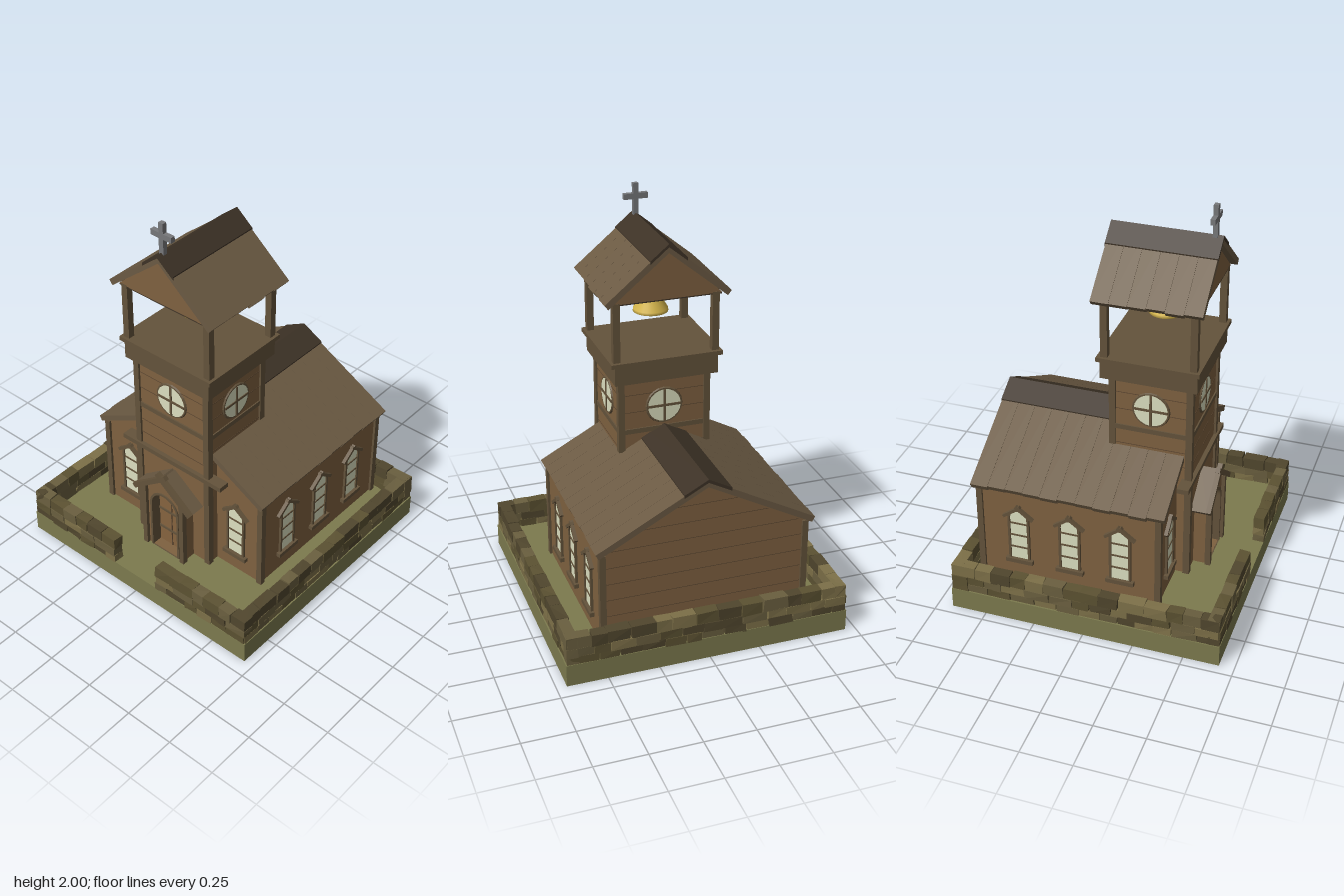
import * as THREE from 'three';

const mat = (color, side = THREE.FrontSide) => new THREE.MeshStandardMaterial({ color, side, flatShading: true });
const M = {
  grass: mat(0x7c7a4e, THREE.DoubleSide), wall: mat(0x7f6140), trim: mat(0x64533b), roof: mat(0x6b5a43),
  ridge: mat(0x3d3226), seam: mat(0x5a4530), glass: mat(0xdcdfc0), door: mat(0x86643f), iron: mat(0x77787a),
  bell: new THREE.MeshStandardMaterial({ color: 0xd6b64c, side: THREE.DoubleSide }),
};
const stoneMats = [0x5c5232, 0x6a5f3f, 0x51472e, 0x7d7048].map((c) => mat(c));

let seed = 7;
const rnd = () => (seed = (seed * 16807) % 2147483647) / 2147483647;

function add(parent, name, geo, m) {
  const mesh = new THREE.Mesh(geo, m);
  mesh.name = name;
  parent.add(mesh);
  return mesh;
}
function group(parent, name) {
  const g = new THREE.Group();
  g.name = name;
  parent.add(g);
  return g;
}
// box given by its limits on each axis
function box(parent, name, m, x0, x1, y0, y1, z0, z1) {
  const b = add(parent, name, new THREE.BoxGeometry(x1 - x0, y1 - y0, z1 - z0), m);
  b.position.set((x0 + x1) / 2, (y0 + y1) / 2, (z0 + z1) / 2);
  return b;
}
// outline in x/y pushed from z0 to z1
function prism(parent, name, m, shape, z0, z1) {
  const s = Array.isArray(shape) ? new THREE.Shape(shape.map((p) => new THREE.Vector2(...p))) : shape;
  const geo = new THREE.ExtrudeGeometry(s, { depth: z1 - z0, bevelEnabled: false, curveSegments: 10 });
  return add(parent, name, geo.translate(0, 0, z0), m);
}
// straight stick between two x/y points
function stick(parent, name, m, [ax, ay], [bx, by], th, z0, z1) {
  const b = add(parent, name, new THREE.BoxGeometry(Math.hypot(bx - ax, by - ay), th, z1 - z0), m);
  b.position.set((ax + bx) / 2, (ay + by) / 2, (z0 + z1) / 2);
  b.rotation.z = Math.atan2(by - ay, bx - ax);
}
function archPath(Kind, w, y0, top) {
  const p = new Kind();
  p.moveTo(-w, y0);
  p.lineTo(w, y0);
  p.lineTo(w, top - w);
  p.absarc(0, top - w, w, 0, Math.PI, false);
  p.lineTo(-w, y0);
  return p;
}

// gable roof made of planks running down the slope, with a dark ridge cap
function plankRoof(parent, name, { hw, eave, ridge, z0, z1, t, planks, cap }) {
  const g = group(parent, name);
  const slope = (ridge - eave) / hw;
  const drop = t * Math.hypot(1, slope);
  const dx = t * Math.sin(Math.atan(slope)), dy = t * Math.cos(Math.atan(slope));
  const w = (z1 - z0) / planks;
  for (const s of [-1, 1]) {
    for (let i = 0; i < planks; i++) {
      const e = hw - rnd() * 0.008;
      const y = ridge - slope * e;
      prism(g, 'roofPlank', M.roof, [[0, ridge], [s * e, y], [s * (e - dx), y - dy], [0, ridge - drop]],
        z0 + i * w, z0 + (i + 1) * w - 0.001);
    }
    const cy = ridge - slope * cap;
    prism(g, 'ridgeCap', M.ridge, [[0, ridge + 0.006], [s * cap, cy + 0.006], [s * cap, cy - 0.01], [0, ridge - 0.01]],
      z0 - 0.003, z1 + 0.003);
  }
}

function archedWindow(parent, x, z, ry) {
  const g = group(parent, 'archedWindow');
  g.position.set(x, 0, z);
  g.rotation.y = ry;
  prism(g, 'pane', M.glass, archPath(THREE.Shape, 0.044, 0.22, 0.504), -0.01, 0.005);
  const frame = archPath(THREE.Shape, 0.055, 0.21, 0.515);
  frame.holes.push(archPath(THREE.Path, 0.043, 0.222, 0.503));
  prism(g, 'frame', M.trim, frame, -0.01, 0.012);
  for (const y of [0.29, 0.36, 0.43]) box(g, 'glazingBar', M.trim, -0.044, 0.044, y - 0.004, y + 0.004, 0, 0.009);
  box(g, 'sill', M.trim, -0.07, 0.07, 0.2, 0.222, -0.01, 0.022);
  for (const s of [-1, 1]) stick(g, 'hood', M.trim, [s * 0.075, 0.465], [-s * 0.012, 0.53], 0.015, -0.005, 0.018);
}

function roundWindow(parent, x, z, ry) {
  const g = group(parent, 'roundWindow');
  g.position.set(x, 1.02, z);
  g.rotation.y = ry;
  add(g, 'pane', new THREE.CylinderGeometry(0.083, 0.083, 0.014, 20).rotateX(Math.PI / 2), M.glass);
  add(g, 'frame', new THREE.TorusGeometry(0.086, 0.008, 6, 20), M.trim);
  box(g, 'glazingBar', M.trim, -0.083, 0.083, -0.006, 0.006, 0, 0.011);
  box(g, 'glazingBar', M.trim, -0.006, 0.006, -0.083, 0.083, 0, 0.011);
}

// rough block: a box whose eight corners are nudged
function stone(parent, w, h, d) {
  const geo = new THREE.BoxGeometry(w, h, d);
  const p = geo.attributes.position;
  const nudge = Array.from({ length: 24 }, () => rnd() * 0.16);
  for (let i = 0; i < p.count; i++) {
    const k = 3 * ((p.getX(i) > 0) + 2 * (p.getY(i) > 0) + 4 * (p.getZ(i) > 0));
    p.setXYZ(i, p.getX(i) * (1 - nudge[k]), p.getY(i) * (1.04 - nudge[k + 1]), p.getZ(i) * (1.04 - nudge[k + 2]));
  }
  geo.computeVertexNormals();
  return add(parent, 'stone', geo, stoneMats[Math.floor(rnd() * 4)]);
}
function stoneRun(parent, x, z, length, ry) {
  const g = group(parent, 'stoneWall');
  g.position.set(x, 0, z);
  g.rotation.y = ry;
  for (const [y0, y1] of [[0.105, 0.15], [0.145, 0.192], [0.188, 0.252]]) {
    for (let a = 0; a < length - 0.001;) {
      let w = 0.07 + rnd() * 0.06;
      if (length - a - w < 0.05) w = length - a;
      stone(g, w + 0.006, y1 - y0, 0.058).position.set(a + w / 2 - length / 2, (y0 + y1) / 2, (rnd() - 0.5) * 0.006);
      a += w;
    }
  }
}

export function createModel() {
  const root = new THREE.Group();
  root.name = 'chapel';

  // ground slab, open underneath
  const ground = group(root, 'ground');
  add(ground, 'lawn', new THREE.PlaneGeometry(1.4, 1.35).rotateX(-Math.PI / 2).translate(0, 0.11, 0), M.grass);
  for (const s of [-1, 1]) {
    add(ground, 'slabSide', new THREE.PlaneGeometry(1.4, 0.11).rotateY(s < 0 ? Math.PI : 0).translate(0, 0.055, s * 0.675), M.grass);
    add(ground, 'slabSide', new THREE.PlaneGeometry(1.35, 0.11).rotateY(s * Math.PI / 2).translate(s * 0.7, 0.055, 0), M.grass);
  }

  // stone boundary wall with an entrance gap
  const Q = Math.PI / 2;
  stoneRun(root, 0, -0.645, 1.39, 0);
  for (const s of [-1, 1]) {
    stoneRun(root, s * 0.667, 0, 1.34, s * Q);
    stoneRun(root, s * 0.415, 0.645, 0.56, 0);
  }

  // nave
  const nave = group(root, 'nave');
  prism(nave, 'naveWalls', M.wall, [[-0.5, 0.11], [0.5, 0.11], [0.5, 0.61], [0, 0.885], [-0.5, 0.61]], -0.59, 0.315);
  for (const s of [-1, 1]) {
    for (const [z0, z1] of [[-0.602, -0.572], [0.298, 0.328]])
      box(nave, 'cornerPost', M.trim, s < 0 ? -0.512 : 0.482, s < 0 ? -0.482 : 0.512, 0.11, 0.605, z0, z1);
    archedWindow(nave, s * 0.345, 0.315, 0);
    for (const z of [0.125, -0.13, -0.39]) archedWindow(nave, s * 0.5, z, s * Q);
  }
  for (let y = 0.19; y < 0.86; y += 0.085) {
    const w = Math.min(0.48, (0.87 - y) / 0.55);
    box(nave, 'plankSeam', M.seam, -w, w, y, y + 0.003, -0.5915, -0.589);
  }
  plankRoof(root, 'naveRoof', { hw: 0.535, eave: 0.63, ridge: 0.915, z0: -0.62, z1: 0.348, t: 0.03, planks: 11, cap: 0.115 });

  // tower
  const tower = group(root, 'tower');
  box(tower, 'towerWalls', M.wall, -0.222, 0.222, 0.11, 1.18, -0.012, 0.377);
  for (const s of [-1, 1]) for (const [z0, z1] of [[-0.022, 0.01], [0.355, 0.388]])
    box(tower, 'towerPost', M.trim, s < 0 ? -0.232 : 0.2, s < 0 ? -0.2 : 0.232, z0 < 0 ? 0.8 : 0.11, 1.18, z0, z1);
  box(tower, 'trimBand', M.trim, -0.228, 0.228, 0.89, 0.915, -0.018, 0.384);
  box(tower, 'frontBeam', M.trim, -0.312, 0.312, 0.643, 0.668, 0.34, 0.398);
  roundWindow(tower, 0, 0.377, 0);
  roundWindow(tower, 0, -0.012, Math.PI);
  for (const s of [-1, 1]) roundWindow(tower, s * 0.222, 0.183, s * Q);
  for (const y of [0.73, 0.81, 1.0, 1.09])
    box(tower, 'plankSeam', M.seam, -0.2235, 0.2235, y, y + 0.003, -0.0135, 0.3785);

  // open belfry
  const belfry = group(root, 'belfry');
  box(belfry, 'platform', M.trim, -0.257, 0.257, 1.17, 1.267, -0.057, 0.412);
  box(belfry, 'platformTop', M.trim, -0.277, 0.277, 1.265, 1.286, -0.07, 0.425);
  for (const s of [-1, 1]) for (const z of [-0.035, 0.393])
    box(belfry, 'belfryPost', M.trim, s * 0.245 - 0.017, s * 0.245 + 0.017, 1.28, 1.58, z - 0.017, z + 0.017);
  prism(belfry, 'gable', M.wall, [[-0.275, 1.574], [0.275, 1.574], [0, 1.81]], -0.05, 0.41);
  box(belfry, 'ceiling', M.ridge, -0.274, 0.274, 1.568, 1.576, -0.049, 0.409);
  plankRoof(root, 'belfryRoof', { hw: 0.312, eave: 1.59, ridge: 1.847, z0: -0.082, z1: 0.442, t: 0.03, planks: 6, cap: 0.09 });

  // bell
  const bell = group(belfry, 'bell');
  bell.position.set(0, 1.43, 0.185);
  const profile = [[0.078, 0.005], [0.086, 0.004], [0.084, 0.018], [0.064, 0.05], [0.05, 0.09], [0.042, 0.125], [0.03, 0.142], [0, 0.148]];
  add(bell, 'bellBody', new THREE.LatheGeometry(profile.map((p) => new THREE.Vector2(...p)), 24), M.bell);
  add(bell, 'clapper', new THREE.SphereGeometry(0.022, 12, 8).translate(0, 0.014, 0), M.iron);

  // rooftop cross
  const cross = group(root, 'cross');
  box(cross, 'upright', M.iron, -0.013, 0.013, 1.82, 2, 0.395, 0.418);
  box(cross, 'crossArm', M.iron, -0.06, 0.06, 1.922, 1.95, 0.395, 0.418);

  // porch and arched door
  const porch = group(root, 'porch');
  const face = new THREE.Shape([[-0.12, 0.11], [0.12, 0.11], [0.12, 0.485], [0, 0.58], [-0.12, 0.485]].map((p) => new THREE.Vector2(...p)));
  face.holes.push(archPath(THREE.Path, 0.086, 0.112, 0.475));
  prism(porch, 'porchWalls', M.wall, face, 0.37, 0.45);
  prism(porch, 'door', M.door, archPath(THREE.Shape, 0.088, 0.11, 0.477), 0.37, 0.4);
  const arch = archPath(THREE.Shape, 0.092, 0.11, 0.481);
  arch.holes.push(archPath(THREE.Path, 0.08, 0.111, 0.469));
  prism(porch, 'doorFrame', M.trim, arch, 0.39, 0.456);
  box(porch, 'doorSeam', M.seam, -0.003, 0.003, 0.11, 0.465, 0.395, 0.403);
  for (const y of [0.2, 0.32]) box(porch, 'doorRail', M.trim, -0.08, 0.08, y, y + 0.012, 0.395, 0.406);
  for (const s of [-1, 1]) {
    box(porch, 'porchPost', M.trim, s * 0.12 - 0.013, s * 0.12 + 0.013, 0.11, 0.49, 0.44, 0.468);
    stick(porch, 'porchRoof', M.roof, [s * 0.18, 0.456], [0, 0.592], 0.022, 0.375, 0.46);
    stick(porch, 'porchBargeboard', M.trim, [s * 0.18, 0.456], [-s * 0.028, 0.615], 0.026, 0.452, 0.476);
  }
  return root;
}
